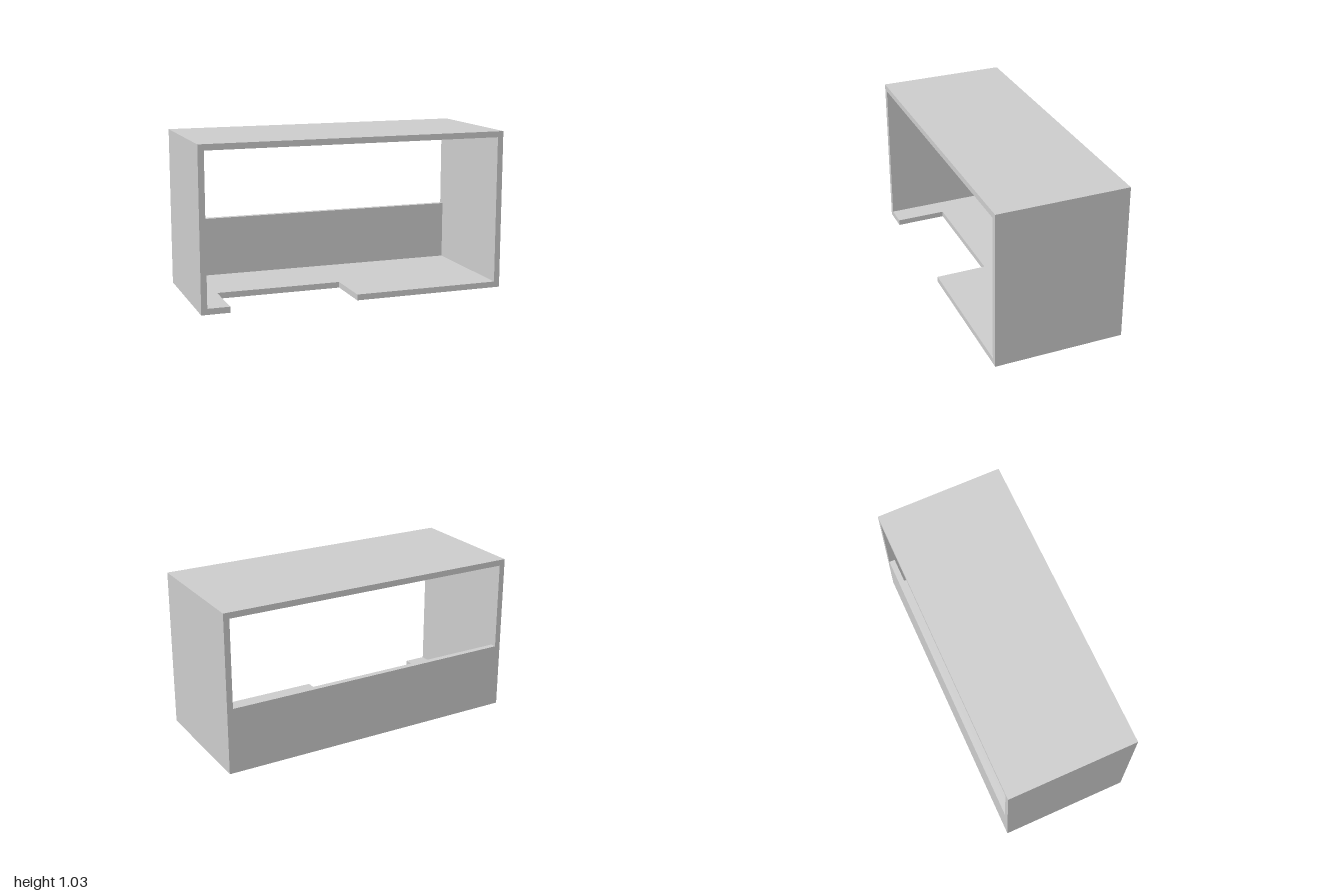
import * as THREE from 'three';

const HEIGHT = 1.03;    // overall height
const HALF_W = 1;       // half of the width
const HALF_D = 0.42;    // half of the depth
const BOARD = 0.038;    // board thickness
const BACK_TOP = 0.425; // upper edge of the low back panel

// Flat board cut from an outline and extruded to a thickness
function board(name, points, depth, material) {
  const shape = new THREE.Shape(points.map(([x, y]) => new THREE.Vector2(x, y)));
  const geometry = new THREE.ExtrudeGeometry(shape, { depth, bevelEnabled: false });
  const mesh = new THREE.Mesh(geometry, material);
  mesh.name = name;
  return mesh;
}

export function createModel() {
  const model = new THREE.Group();
  model.name = 'openCabinet';
  const material = new THREE.MeshStandardMaterial({ color: 0xcccccc });
  const inner = HALF_W - BOARD;

  // Side walls and top as one continuous frame
  const frame = board('sidesAndTop', [
    [-HALF_W, 0], [-inner, 0], [-inner, HEIGHT - BOARD], [inner, HEIGHT - BOARD],
    [inner, 0], [HALF_W, 0], [HALF_W, HEIGHT], [-HALF_W, HEIGHT],
  ], 2 * HALF_D, material);
  frame.position.z = -HALF_D;

  // Floor with a rectangular notch in its front edge (outline in x, z)
  const notchLeft = 0, notchRight = -0.82, notchBack = 0.085;
  const floor = board('notchedFloor', [
    [-inner, -HALF_D], [inner, -HALF_D], [inner, HALF_D], [notchLeft, HALF_D],
    [notchLeft, notchBack], [notchRight, notchBack], [notchRight, HALF_D], [-inner, HALF_D],
  ], BOARD, material);
  floor.geometry.rotateX(Math.PI / 2);
  floor.position.y = BOARD;

  // Low back panel between the sides
  const back = new THREE.Mesh(
    new THREE.BoxGeometry(2 * inner, BACK_TOP - BOARD, BOARD), material);
  back.name = 'backPanel';
  back.position.set(0, (BACK_TOP + BOARD) / 2, -HALF_D + BOARD / 2);

  model.add(frame, floor, back);
  return model;
}
